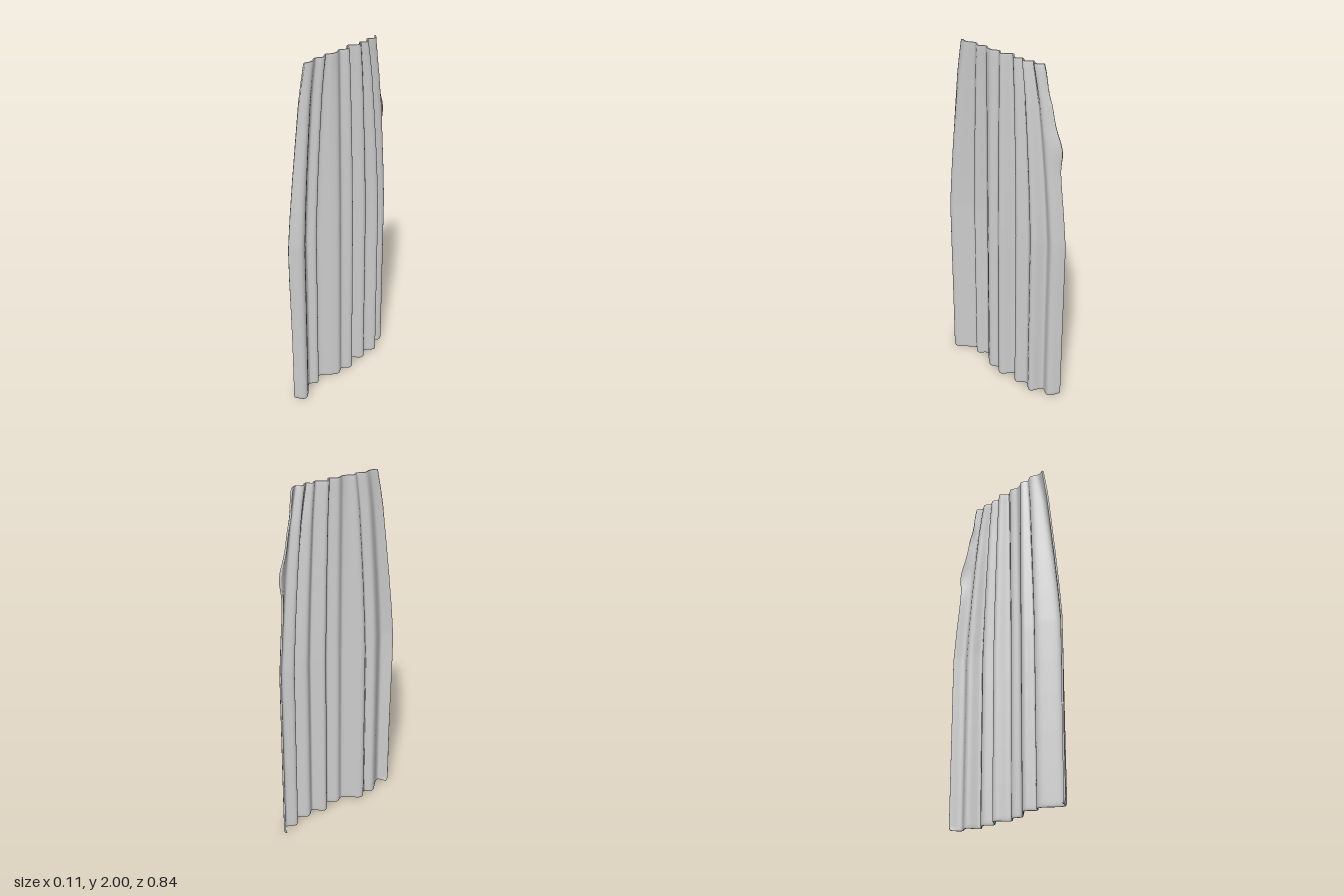
import * as THREE from 'three';

// Fold lines as [z, x], running from the front edge to the back edge
const LOWER = [[0.41, -0.005], [0.365, 0.043], [0.255, -0.03], [0.215, -0.002], [0.165, -0.04], [0.1, 0.012],
  [0.065, 0.034], [0.02, 0.016], [-0.03, 0.05], [-0.095, -0.012], [-0.15, 0.04], [-0.205, 0.005],
  [-0.265, 0.043], [-0.31, -0.02], [-0.37, 0.002], [-0.415, -0.052]];
const UPPER = [[0.288, 0.01], [0.245, 0.02], [0.195, 0.0], [0.155, 0.02], [0.12, 0.0], [0.09, 0.016],
  [0.06, 0.022], [0.02, 0.006], [-0.02, 0.03], [-0.06, -0.008], [-0.11, 0.028], [-0.145, 0.006],
  [-0.17, 0.03], [-0.21, 0.0], [-0.24, 0.02], [-0.28, -0.005]];
// How gathered the cloth is at each height: [y, gather]
const GATHER = [[0, 0], [1, 0], [1.2, 0.12], [1.4, 0.27], [1.6, 0.46], [1.8, 0.67], [1.9, 0.82], [2, 1]];
const HALF_THICK = 0.005;
const COLS = 150;

const smoothCurve = pts => new THREE.CatmullRomCurve3(
  pts.map(([z, x]) => new THREE.Vector3(x, 0, z)), false, 'centripetal');

function gatherAt(y) {
  for (let i = 1; i < GATHER.length; i++) {
    const [y0, g0] = GATHER[i - 1], [y1, g1] = GATHER[i];
    if (y <= y1) return THREE.MathUtils.lerp(g0, g1, (y - y0) / (y1 - y0));
  }
  return 1;
}

// Centre line of the cloth at one height
function centreLine(y, lower, upper) {
  const g = gatherAt(y), line = [];
  for (let j = 0; j <= COLS; j++) {
    const s = j / COLS;
    const p = lower.getPoint(s).lerp(upper.getPoint(s), g);
    const edge = Math.pow(Math.abs(2 * s - 1), 16);
    // belly at mid height on the front edge
    if (s < 0.5) p.z += edge * 0.012 * Math.exp(-(((y - 0.95) / 0.4) ** 2));
    // loose bulge high on the back edge, pinched just above it
    else {
      p.z -= edge * 0.03 * Math.exp(-(((y - 1.56) / 0.09) ** 2));
      p.z += edge * 0.012 * Math.exp(-(((y - 1.86) / 0.06) ** 2));
    }
    // rounded lower corners
    const round = Math.max(0, 1 - y / 0.03) ** 2;
    p.z -= Math.sign(p.z) * edge * 0.02 * round;
    line.push(p);
  }
  return line;
}

// Closed outline: +x face from front to back, then the -x face returning
function outline(y, lower, upper, half) {
  const line = centreLine(y, lower, upper), front = [], back = [];
  line.forEach((p, j) => {
    const t = line[Math.min(j + 1, COLS)].clone().sub(line[Math.max(j - 1, 0)]).normalize();
    const n = new THREE.Vector3(-t.z, 0, t.x).multiplyScalar(half);
    front.push(p.clone().add(n).setY(y));
    back.push(p.clone().sub(n).setY(y));
  });
  return front.concat(back.reverse());
}

function makeGeometry(points, index) {
  const geo = new THREE.BufferGeometry().setFromPoints(points);
  geo.setIndex(index);
  geo.computeVertexNormals();
  return geo;
}

// Flat strip closing one end of the outline
function capGeometry(loop, up) {
  const index = [], last = loop.length - 1;
  for (let j = 0; j < COLS; j++) {
    const a = j, b = j + 1, c = last - j, d = last - j - 1;
    if (up) index.push(a, b, c, b, d, c);
    else index.push(a, c, b, b, c, d);
  }
  return makeGeometry(loop, index);
}

export function createModel() {
  const group = new THREE.Group();
  group.name = 'curtain';
  const fabric = new THREE.MeshStandardMaterial({ color: 0xcccccc });
  fabric.name = 'grey fabric';
  const lower = smoothCurve(LOWER), upper = smoothCurve(UPPER);

  // Heights, with close rows at the softened hems
  const heights = [0.005, 0.009, 0.018, 0.035];
  for (let y = 0.2; y < 1; y += 0.2) heights.push(y);
  for (let y = 1; y < 1.98; y += 0.04) heights.push(y);
  heights.push(1.99, 2);
  const loops = heights.map((y, i) => {
    const soft = i === 0 ? 0.4 : i === 1 ? 0.8 : i === heights.length - 1 ? 0.7 : 1;
    return outline(y, lower, upper, HALF_THICK * soft);
  });

  // Pleated cloth
  const n = loops[0].length, index = [];
  for (let i = 0; i < loops.length - 1; i++) {
    for (let j = 0; j < n; j++) {
      const a = i * n + j, b = i * n + (j + 1) % n;
      index.push(a, b, a + n, b, b + n, a + n);
    }
  }
  const add = (name, geo) => {
    const mesh = new THREE.Mesh(geo, fabric);
    mesh.name = name;
    group.add(mesh);
  };
  add('pleatedCloth', makeGeometry(loops.flat(), index));
  add('topEdge', capGeometry(loops[loops.length - 1], true));
  add('bottomHem', capGeometry(loops[0], false));
  return group;
}
